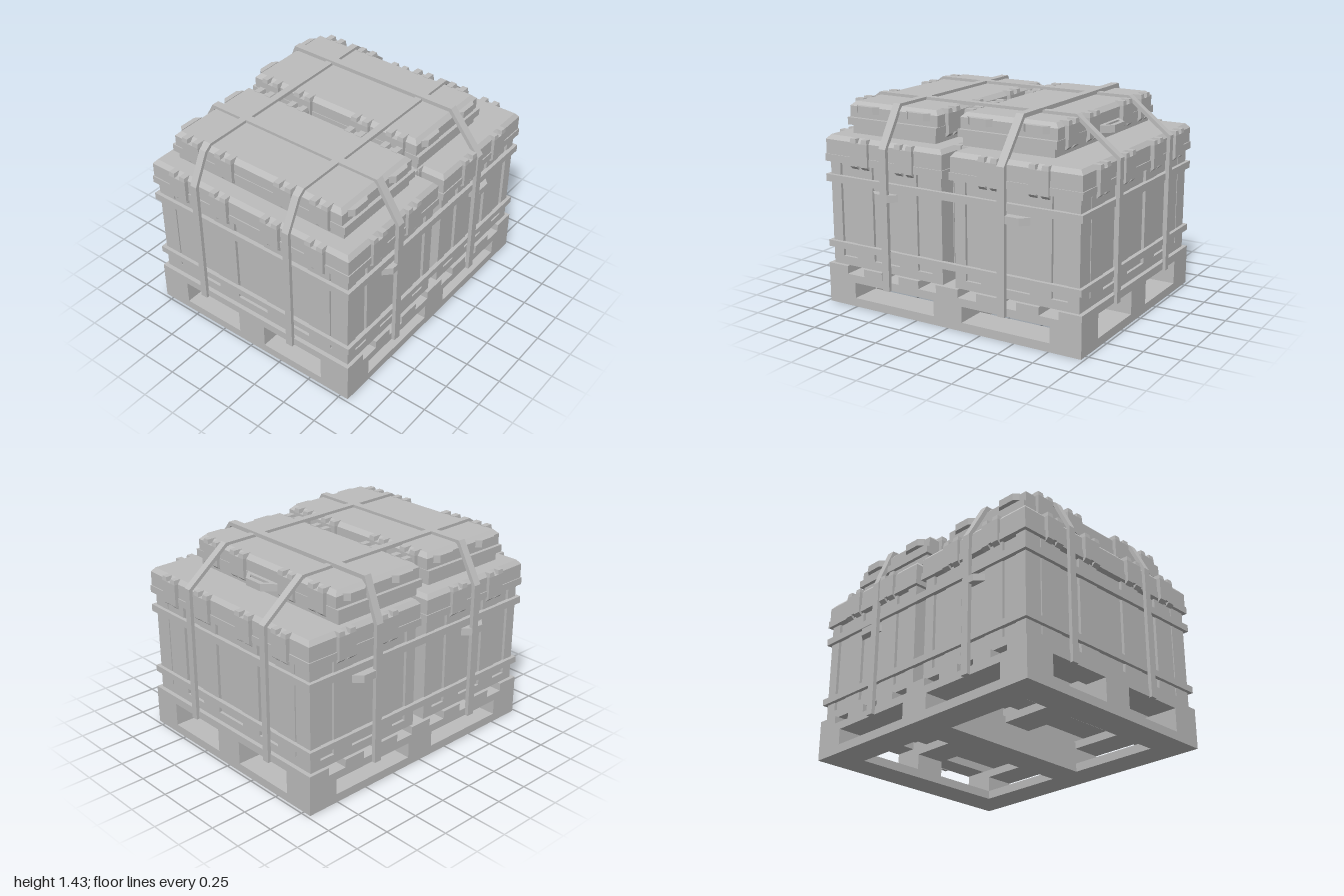
import * as THREE from 'three';

const grey = new THREE.MeshStandardMaterial({ color: 0xbcbcbc });
grey.name = 'plainGrey';

function add(parent, name, geo) {
  const mesh = new THREE.Mesh(geo, grey);
  mesh.name = name;
  parent.add(mesh);
  return mesh;
}

// Box given by its limits; the top face may be inset for a bevel
function block(parent, name, x0, x1, y0, y1, z0, z1, inset = 0) {
  const w = x1 - x0, h = y1 - y0, d = z1 - z0;
  const geo = new THREE.BoxGeometry(w, h, d);
  if (inset) {
    const p = geo.attributes.position;
    for (let i = 0; i < p.count; i++) {
      if (p.getY(i) > 0) {
        p.setX(i, p.getX(i) * (1 - 2 * inset / w));
        p.setZ(i, p.getZ(i) * (1 - 2 * inset / d));
      }
    }
    geo.computeVertexNormals();
  }
  geo.translate((x0 + x1) / 2, (y0 + y1) / 2, (z0 + z1) / 2);
  return add(parent, name, geo);
}

function extrude(points, depth) {
  const shape = new THREE.Shape(points.map(([a, b]) => new THREE.Vector2(a, b)));
  return new THREE.ExtrudeGeometry(shape, { depth, bevelEnabled: false });
}

// Trapezoid handle facing +z, base on z = 0
function handle(parent, width, depth, height, hollow) {
  const w = width / 2, t = w - depth;
  const shape = new THREE.Shape([[-w, 0], [w, 0], [t, depth], [-t, depth]].map(([a, b]) => new THREE.Vector2(a, b)));
  if (hollow) {
    shape.holes.push(new THREE.Path([[-w * 0.62, depth * 0.3], [-t, depth * 0.62], [t, depth * 0.62], [w * 0.62, depth * 0.3]]
      .map(([a, b]) => new THREE.Vector2(a, b))));
  }
  const geo = new THREE.ExtrudeGeometry(shape, { depth: height, bevelEnabled: false });
  geo.rotateX(Math.PI / 2).translate(0, height / 2, 0);
  return add(parent, 'handle', geo);
}

// Latch facing +z; y = 0 is the lower edge of its plate
function latch(parent, height) {
  const g = new THREE.Group();
  g.name = 'latch';
  block(g, 'latchPlate', -0.07, 0.07, 0, height - 0.03, -0.035, 0.025);
  for (const s of [-1, 1]) {
    block(g, 'latchTab', s * 0.045 - 0.025, s * 0.045 + 0.025, height - 0.03, height, -0.045, 0.025, 0.004);
    const foot = extrude([[0, 0], [0, -0.028], [0.025, -0.006], [0.025, 0]], 0.055);
    foot.rotateY(-Math.PI / 2).translate(s * 0.043 + 0.0275, 0, 0);
    add(g, 'latchFoot', foot);
  }
  parent.add(g);
  return g;
}

// Flat strap following an outline of [across, y] points, in the xy plane
function strap(parent, name, outline, width, thick) {
  const pts = outline.map(([a, b]) => new THREE.Vector2(a, b));
  const inner = pts.map((p, i) => {
    const a = (i ? p.clone().sub(pts[i - 1]) : pts[1].clone().sub(p)).normalize();
    const b = (i < pts.length - 1 ? pts[i + 1].clone().sub(p) : a.clone()).normalize();
    const n = new THREE.Vector2(a.y + b.y, -a.x - b.x).normalize();
    return p.clone().addScaledVector(n, thick / (n.x * a.y - n.y * a.x));
  });
  const shape = new THREE.Shape([...pts, ...inner.reverse()]);
  const geo = new THREE.ExtrudeGeometry(shape, { depth: width, bevelEnabled: false });
  geo.translate(0, 0, -width / 2);
  return add(parent, name, geo);
}

function createPallet() {
  const g = new THREE.Group();
  g.name = 'pallet';
  // Bottom frame and centre beam
  for (const s of [-1, 1]) {
    block(g, 'bottomBoard', -0.98, 0.98, 0, 0.06, s * 0.7 - 0.11, s * 0.7 + 0.11);
    block(g, 'bottomSideBoard', s * 0.87 - 0.11, s * 0.87 + 0.11, 0, 0.06, -0.59, 0.59);
  }
  block(g, 'centreBeam', -0.11, 0.11, 0, 0.215, -0.81, 0.81);
  // Corner and side blocks
  for (const x of [-0.87, 0.87]) {
    for (const z of [-0.7, 0, 0.7]) block(g, 'palletBlock', x - 0.11, x + 0.11, 0.06, 0.17, z - 0.11, z + 0.11);
  }
  // Cross stringers and deck boards
  for (const z of [-0.7, 0, 0.7]) block(g, 'stringer', -0.98, 0.98, 0.17, z ? 0.225 : 0.27, z - 0.11, z + 0.11);
  for (const [x0, x1] of [[-0.98, -0.82], [-0.68, -0.53], [-0.39, -0.23], [-0.09, 0.08], [0.22, 0.38], [0.52, 0.68], [0.82, 0.98]]) {
    block(g, 'deckBoard', x0, x1, 0.225, 0.28, -0.81, 0.81);
  }
  return g;
}

function createLargeCrate() {
  const g = new THREE.Group();
  g.name = 'largeCrate';
  block(g, 'crateBody', -0.43, 0.43, 0.28, 1.0, -0.765, 0.765);
  block(g, 'crateFoot', -0.45, 0.45, 0.28, 0.34, -0.785, 0.785);
  // Raised upright panels on the walls
  for (const s of [-1, 1]) {
    for (const x of [-0.41, -0.18, 0.18, 0.41]) {
      const w = Math.abs(x) > 0.3 ? 0.04 : 0.075;
      block(g, 'endRib', x - w, x + w, 0.34, 1.0, s * 0.77 - 0.015, s * 0.77 + 0.015);
    }
    for (const z of [-0.72, -0.56, -0.21, 0.21, 0.56, 0.72]) {
      const w = Math.abs(z) > 0.7 ? 0.065 : 0.085;
      block(g, 'sideRib', s * 0.435 - 0.015, s * 0.435 + 0.015, 0.34, 1.0, z - w, z + w);
    }
    // Latches and end handles
    const turn = s > 0 ? 0 : Math.PI;
    for (const x of [-0.18, 0.18]) {
      const l = latch(g, 0.18);
      l.position.set(x, 1.0, s * 0.8);
      l.rotation.y = turn;
    }
    for (const z of [-0.56, -0.21, 0.21, 0.56]) {
      const l = latch(g, 0.18);
      l.position.set(s * 0.472, 1.0, z);
      l.rotation.y = s * Math.PI / 2;
    }
    const h = handle(g, 0.21, 0.055, 0.05, false);
    h.position.set(0, 0.81, s * 0.78);
    h.rotation.y = turn;
  }
  block(g, 'lidRim', -0.475, 0.475, 1.0, 1.05, -0.81, 0.81);
  block(g, 'lid', -0.468, 0.468, 1.05, 1.15, -0.803, 0.803);
  block(g, 'lidTop', -0.468, 0.468, 1.15, 1.18, -0.803, 0.803, 0.025);
  return g;
}

function createSmallCrate() {
  const g = new THREE.Group();
  g.name = 'smallCrate';
  block(g, 'crateBody', -0.335, 0.335, 1.18, 1.24, -0.675, 0.675);
  block(g, 'lidRim', -0.36, 0.36, 1.24, 1.29, -0.7, 0.7);
  block(g, 'lid', -0.355, 0.355, 1.29, 1.365, -0.675, 0.675);
  block(g, 'lidTop', -0.355, 0.355, 1.365, 1.395, -0.675, 0.675, 0.03);
  for (const s of [-1, 1]) {
    for (const x of [-0.205, 0.205]) {
      const h = handle(g, 0.19, 0.035, 0.05, false);
      h.position.set(x, 1.35, s * 0.672);
      h.rotation.y = s > 0 ? 0 : Math.PI;
    }
    for (const z of [-0.52, -0.24, 0.24, 0.52]) {
      const l = latch(g, 0.16);
      l.position.set(s * 0.357, 1.24, z);
      l.rotation.y = s * Math.PI / 2;
    }
  }
  // Carrying handle on the +x side
  const h = handle(g, 0.31, 0.085, 0.05, true);
  h.position.set(0.355, 1.265, 0);
  h.rotation.y = Math.PI / 2;
  return g;
}

export function createModel() {
  const model = new THREE.Group();
  model.name = 'loadedPallet';
  model.add(createPallet());

  for (const s of [-1, 1]) {
    const big = createLargeCrate();
    big.position.x = s * 0.5;
    const small = createSmallCrate();
    small.position.set(s > 0 ? 0.34 : -0.505, 0, s > 0 ? -0.063 : -0.005);
    model.add(big, small);
  }

  // Horizontal bands around both large crates
  for (const [y0, y1] of [[0.4, 0.445], [0.86, 0.91]]) {
    for (const s of [-1, 1]) {
      block(model, 'bandEnd', -0.975, 0.975, y0, y1, s * 0.795 - 0.015, s * 0.795 + 0.015);
      block(model, 'bandSide', s * 0.96 - 0.015, s * 0.96 + 0.015, y0, y1, -0.79, 0.79);
    }
  }

  // Straps over the load, front to back and side to side
  for (const [x, back, front, top] of [[-0.478, -0.68, 0.66, 1.415], [0.42, -0.72, 0.6, 1.43]]) {
    const m = strap(model, 'lengthStrap', [[-0.835, 0.17], [-0.835, 1.14], [back, top], [front, top], [0.835, 1.14], [0.835, 0.17]], 0.055, 0.028);
    m.position.x = x;
    m.rotation.y = -Math.PI / 2;
  }
  for (const z of [-0.41, 0.345]) {
    strap(model, 'crossStrap', [[-1, 0.22], [-1, 1.16], [-0.89, 1.38], [-0.84, 1.415], [0.69, 1.415], [1, 1.17], [1, 0.22]], 0.05, 0.025)
      .position.z = z;
  }
  return model;
}
